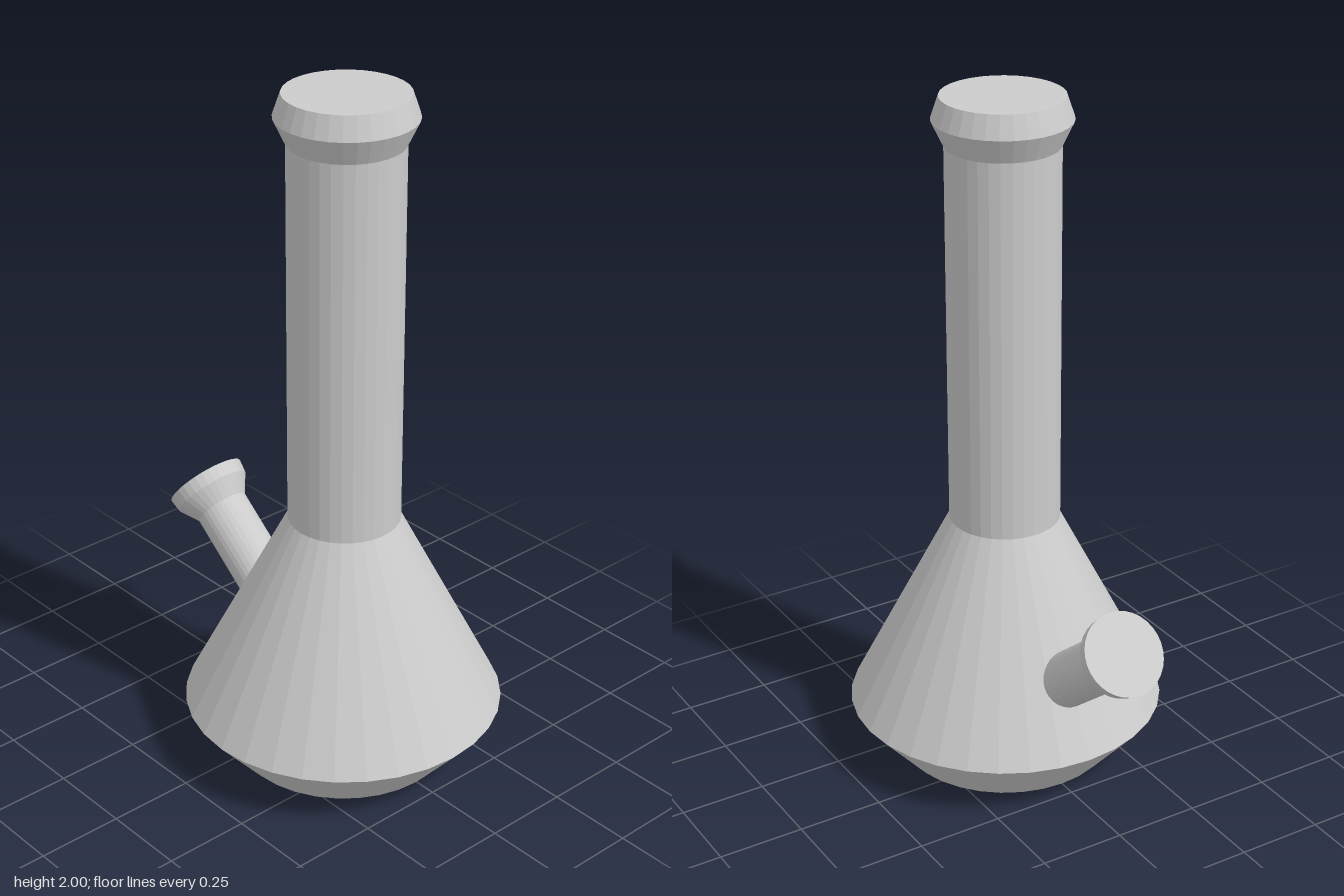
import * as THREE from 'three';

const SIDES = 32;

// Faceted solid of revolution from [radius, height] pairs, bottom to top
function turned(name, profile) {
  const points = profile.map(([r, y]) => new THREE.Vector2(r, y));
  const material = new THREE.MeshStandardMaterial({ color: 0xcccccc, flatShading: true });
  const mesh = new THREE.Mesh(new THREE.LatheGeometry(points, SIDES), material);
  mesh.name = name;
  return mesh;
}

export function createModel() {
  const model = new THREE.Group();
  model.name = 'flask';

  // Conical body, straight neck and flared lip, closed at both ends
  const body = turned('body', [
    [0, 0], [0.316, 0],
    [0.46, 0.163],
    [0.16, 0.75],
    [0.16, 1.863],
    [0.194, 1.935],
    [0.172, 2], [0, 2],
  ]);
  body.position.x = 0.118;
  model.add(body);

  // Slanted side stem with a capped bowl; its inner end is buried in the body
  const stem = turned('sideStem', [
    [0, -0.45], [0.08, -0.45],
    [0.08, -0.096],
    [0.115, -0.04],
    [0.12, 0], [0, 0],
  ]);
  stem.position.set(-0.504, 0.597, 0);
  stem.rotation.z = THREE.MathUtils.degToRad(51);
  model.add(stem);

  return model;
}
